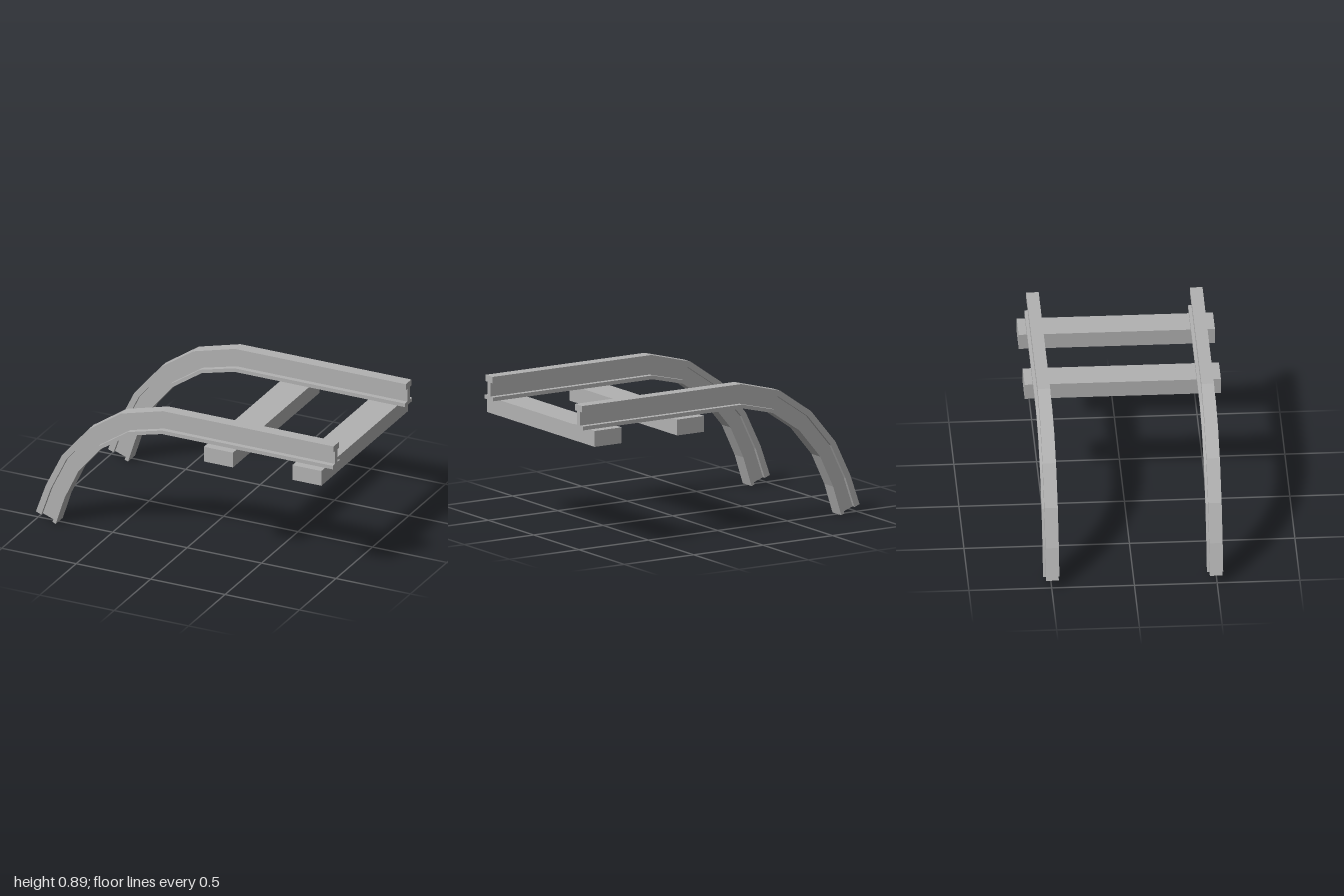
import * as THREE from 'three';

const steel = new THREE.MeshStandardMaterial({ color: 0xb2b2b2 });
steel.name = 'grey';

// Rail centreline stations: top edge [x, y] and bottom edge [x, y]
const stations = [
  [1, 0.892, 1, 0.744],
  [-0.147, 0.892, -0.147, 0.744],
  [-0.428, 0.818, -0.366, 0.69],
  [-0.65, 0.666, -0.559, 0.559],
  [-0.826, 0.457, -0.709, 0.38],
  [-0.933, 0.238, -0.802, 0.184],
  [-1, 0.05, -0.861, 0.0],
];

// I-shaped rail section: [half width, height fraction], mirrored to a closed loop
const half = [[0.049, 0], [0.049, 0.16], [0.017, 0.16], [0.017, 0.736], [0.038, 0.736], [0.038, 1]];
const section = [...half, ...half.map(([w, t]) => [-w, t]).reverse()];

// Sweep the section along the stations, with flat faces and closed ends
function railGeometry() {
  const rings = stations.map(([tx, ty, bx, by]) =>
    section.map(([w, t]) => [bx + (tx - bx) * t, by + (ty - by) * t, w]));
  const pos = [];
  const tri = (a, b, c) => pos.push(...a, ...b, ...c);
  const n = section.length;
  for (let i = 0; i < rings.length - 1; i++) {
    for (let j = 0; j < n; j++) {
      const k = (j + 1) % n;
      tri(rings[i][j], rings[i][k], rings[i + 1][k]);
      tri(rings[i][j], rings[i + 1][k], rings[i + 1][j]);
    }
  }
  const caps = THREE.ShapeUtils.triangulateShape(section.map(([w, t]) => new THREE.Vector2(w, t)), []);
  const first = rings[0], last = rings[rings.length - 1];
  for (const [a, b, c] of caps) {
    tri(last[a], last[b], last[c]);
    tri(first[c], first[b], first[a]);
  }
  const geometry = new THREE.BufferGeometry();
  geometry.setAttribute('position', new THREE.Float32BufferAttribute(pos, 3));
  geometry.computeVertexNormals();
  return geometry;
}

export function createModel() {
  const group = new THREE.Group();
  group.name = 'bentTrack';

  // Two parallel rails bending down to the ground
  const rail = railGeometry();
  for (const [name, z] of [['frontRail', 0.495], ['backRail', -0.495]]) {
    const mesh = new THREE.Mesh(rail, steel);
    mesh.name = name;
    mesh.position.z = z;
    group.add(mesh);
  }

  // Two sleepers under the straight part
  const sleeper = new THREE.BoxGeometry(0.195, 0.098, 1.186);
  for (const [name, x] of [['innerSleeper', 0.256], ['outerSleeper', 0.85]]) {
    const mesh = new THREE.Mesh(sleeper, steel);
    mesh.name = name;
    mesh.position.set(x, 0.694, 0);
    group.add(mesh);
  }
  return group;
}
